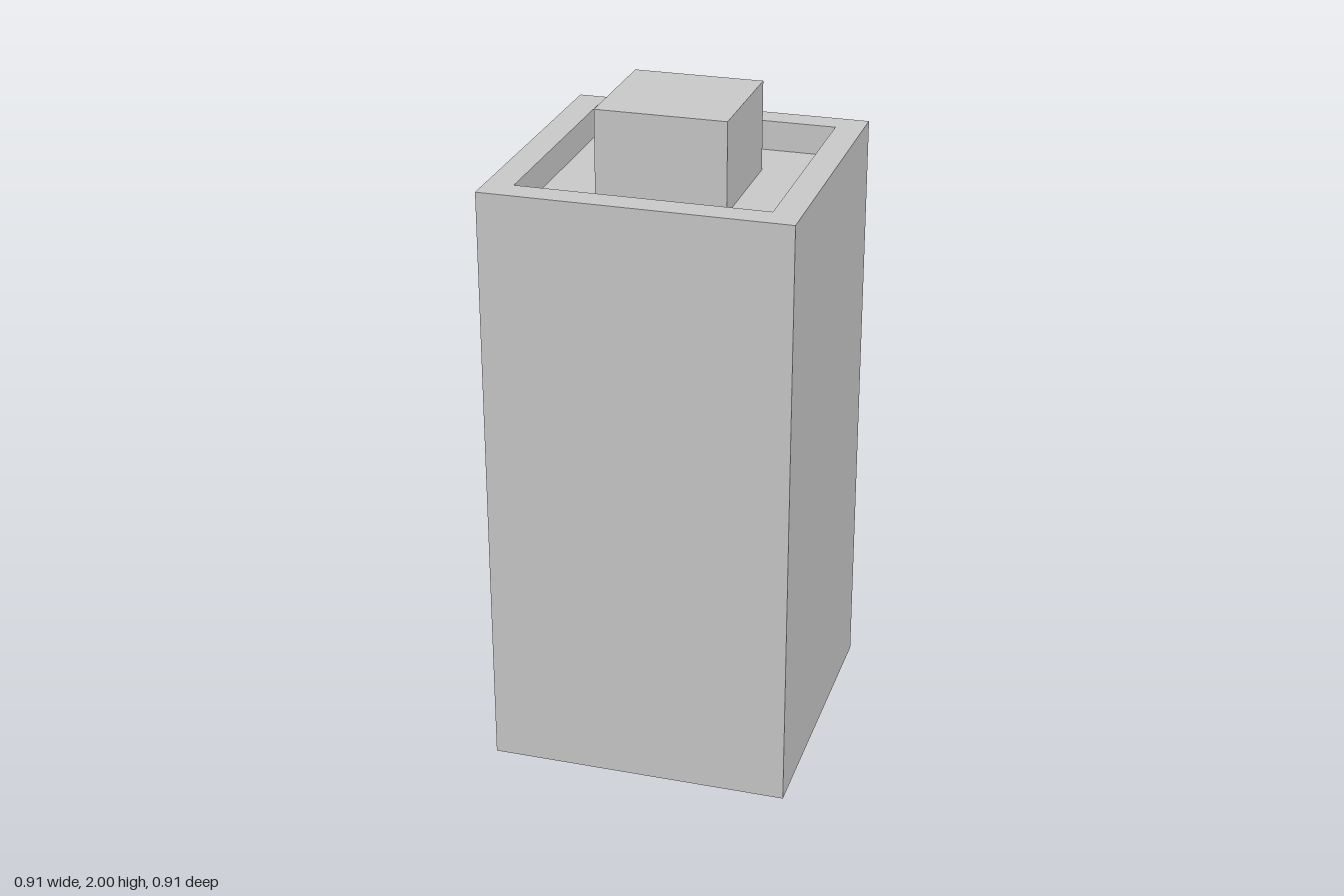
import * as THREE from 'three';

// Double-sided: the shell is thin and open underneath.
const material = new THREE.MeshStandardMaterial({ color: 0xcccccc, flatShading: true, side: THREE.DoubleSide });

// Square shell swept from a profile of [half width, height] points.
function squareShell(name, profile) {
  const points = profile.map(([half, y]) => new THREE.Vector2(half * Math.SQRT2, y));
  const geometry = new THREE.LatheGeometry(points, 4, Math.PI / 4).toNonIndexed();
  geometry.computeVertexNormals();
  const mesh = new THREE.Mesh(geometry, material);
  mesh.name = name;
  return mesh;
}

export function createModel() {
  const outer = 0.453, inner = 0.37, knob = 0.193;
  const rimY = 1.82, floorY = 1.73, topY = 2;

  const group = new THREE.Group();
  group.name = 'squarePillar';
  group.add(
    // Tall walls, open at the bottom
    squareShell('body', [[outer, 0], [outer, rimY]]),
    // Flat rim, recess walls and recess floor
    squareShell('recessedTop', [[outer, rimY], [inner, rimY], [inner, floorY], [knob, floorY]]),
    // Block rising from the recess
    squareShell('knob', [[knob, floorY], [knob, topY], [0, topY]])
  );
  return group;
}
